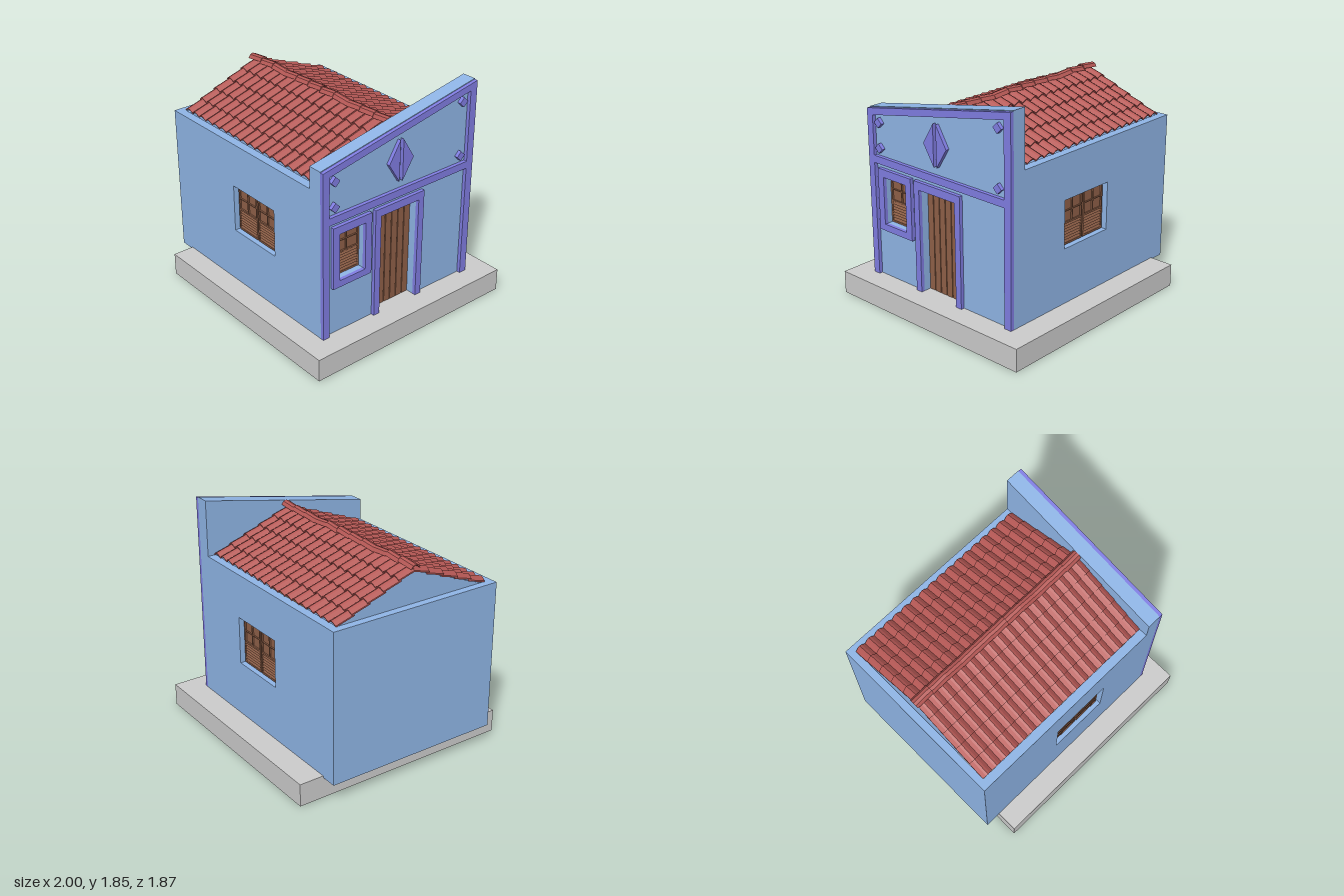
import * as THREE from 'three';

const mat = (color) => new THREE.MeshStandardMaterial({ color, flatShading: true, side: THREE.DoubleSide });
const GREY = mat(0xcccccc), BLUE = mat(0x8fb5e6), PURPLE = mat(0x807de2);
const TILE = mat(0xb55855), WOOD = mat(0x8f6048);

const rect = (x0, y0, x1, y1) => [[x0, y0], [x1, y0], [x1, y1], [x0, y1]];
const vecs = (pts) => pts.map(([x, y]) => new THREE.Vector2(x, y));

// Flat outline with holes, extruded from w0 to w1 along local z
function slab(name, pts, holes, w0, w1, material) {
  const shape = new THREE.Shape(vecs(pts));
  for (const h of holes) shape.holes.push(new THREE.Path(vecs(h)));
  const geo = new THREE.ExtrudeGeometry(shape, { depth: w1 - w0, bevelEnabled: false });
  geo.translate(0, 0, w0);
  const mesh = new THREE.Mesh(geo, material);
  mesh.name = name;
  return mesh;
}

function box(name, w, h, d, x, y, z, material) {
  const mesh = new THREE.Mesh(new THREE.BoxGeometry(w, h, d), material);
  mesh.name = name;
  mesh.position.set(x, y, z);
  return mesh;
}

// Wooden casement: four panes above, slatted louvre below; faces +z, origin at bottom centre
function casement(w, h) {
  const g = new THREE.Group();
  g.name = 'casement';
  const b = 0.014, mid = h * 0.47, hw = w / 2, rowH = (h - mid - 2 * b) / 2;
  const holes = [rect(-hw + b, b, hw - b, mid - b / 2)];
  for (const row of [0, 1]) {
    const y = mid + b / 2 + row * (rowH + b / 2);
    holes.push(rect(-hw + b, y, -b / 3, y + rowH), rect(b / 3, y, hw - b, y + rowH));
  }
  g.add(slab('casementFrame', rect(-hw, 0, hw, h), holes, -0.02, 0, WOOD));
  g.add(box('panes', w - b, h - b, 0.008, 0, h / 2, -0.016, WOOD));
  const n = 7, step = (mid - 1.5 * b) / n;
  for (let i = 0; i < n; i++) {
    const slat = box('slat', w - 2 * b, step * 0.95, 0.005, 0, b + step * (i + 0.5), -0.007, WOOD);
    slat.rotation.x = -0.4;
    g.add(slat);
  }
  return g;
}

// Long wall with a double window; outer face at local z = 0
const T = 0.07, BOTTOM = 0.17, TOP = 1.39;
function windowWall(name, x0, x1, cx) {
  const g = new THREE.Group();
  g.name = name;
  g.add(slab('wall', rect(x0, BOTTOM, x1, TOP), [rect(cx - 0.25, 0.64, cx + 0.25, 1.03)], -T, 0, BLUE));
  for (const s of [-1, 1]) {
    const c = casement(0.228, 0.374);
    c.position.set(cx + s * 0.121, 0.648, -0.035);
    g.add(c);
  }
  return g;
}

// Street side with sloping parapet; local x = -z of the model, local z = x of the model
function facade() {
  const g = new THREE.Group();
  g.name = 'facade';
  const L = -0.755, R = 0.73, X = 0.805, F = 0.835;
  const topY = (u) => 1.565 + (u - L) * 0.19;
  const win = rect(-0.6, 0.64, -0.355, 1.03), door = rect(-0.205, 0.185, 0.17, 1.03);
  // parapet wall, left open at the foot for the door
  g.add(slab('facadeWall', [[L, BOTTOM], [-0.205, BOTTOM], [-0.205, 1.03], [0.17, 1.03], [0.17, BOTTOM],
    [R, BOTTOM], [R, topY(R)], [L, topY(L)]], [win], 0.69, X, BLUE));
  // raised border around both fields
  const a = L + 0.06, b = R - 0.065, d = 0.006;
  g.add(slab('border', [[L, 0.18], [a, 0.18], [a, 1.13], [b, 1.13], [b, 0.18], [R, 0.18],
    [R, topY(R) - d], [L, topY(L) - d]],
  [[[a, 1.19], [b, 1.19], [b, topY(b) - 0.062], [a, topY(a) - 0.062]]], X, F, PURPLE));
  // window and door surrounds
  g.add(slab('windowSurround', rect(-0.66, 0.585, -0.295, 1.095), [win], X, F, PURPLE));
  g.add(slab('doorSurround', [[-0.26, 0.18], [-0.205, 0.18], [-0.205, 1.03], [0.17, 1.03], [0.17, 0.18],
    [0.225, 0.18], [0.225, 1.095], [-0.26, 1.095]], [], X, F, PURPLE));
  // diamond ornaments
  for (const [u, y] of [[-0.64, 1.46], [-0.64, 1.255], [0.6, 1.7], [0.6, 1.255]]) {
    const r = 0.04;
    g.add(slab('diamond', [[u - r, y], [u, y - r], [u + r, y], [u, y + r]], [], X, F, PURPLE));
  }
  for (const s of [-1, 1]) {
    const u = -0.02 + s * 0.015;
    g.add(slab('halfDiamond', [[u, 1.255], [u + s * 0.104, 1.42], [u, 1.59]], [], X, F, PURPLE));
  }
  // small window
  const c = casement(0.237, 0.38);
  c.position.set(-0.4775, 0.645, 0.765);
  g.add(c);
  // plank door
  const n = 6, pw = (door[1][0] - door[0][0]) / n;
  g.add(box('doorBacking', pw * n, 0.845, 0.01, -0.0175, 0.6075, 0.722, WOOD));
  for (let i = 0; i < n; i++) {
    g.add(box('doorPlank', pw - 0.007, 0.843, 0.02, door[0][0] + pw * (i + 0.5), 0.6075, 0.735, WOOD));
  }
  g.rotation.y = Math.PI / 2;
  return g;
}

function roof() {
  const g = new THREE.Group();
  g.name = 'roof';
  const x0 = -0.945, x1 = 0.69, cols = 18, w = (x1 - x0) / cols, ridgeZ = 0.006, ridgeY = 1.645;
  // wavy tile section across the whole row
  const wave = [];
  for (let i = 0; i < cols; i++) {
    for (const [t, y] of [[0, 0], [0.3, 0.02], [0.5, 0.027], [0.7, 0.02]]) {
      wave.push([(i + t - cols / 2) * w, y]);
    }
  }
  wave.push([cols / 2 * w, 0]);
  const under = wave.map(([x, y]) => [x, y - 0.011]);
  const section = [...under, ...wave.slice().reverse()];
  // overlapping rows on both slopes
  const rows = 5, slope = 0.365, step = 0.1445;
  for (const turn of [0, Math.PI]) {
    const side = new THREE.Group();
    side.name = turn ? 'backSlope' : 'frontSlope';
    for (let i = 0; i < rows; i++) {
      const row = slab('tileRow', section, [], i ? -0.02 : 0, step, TILE);
      const s = i * step;
      row.position.set(0, -s * Math.sin(slope), s * Math.cos(slope));
      row.rotation.x = slope - 0.085;
      side.add(row);
    }
    side.position.set((x0 + x1) / 2, ridgeY, ridgeZ);
    side.rotation.y = turn;
    g.add(side);
  }
  // ridge caps, each laid a little unevenly
  const arch = [[-0.042, 0], [-0.024, 0.026], [0, 0.034], [0.024, 0.026], [0.042, 0]];
  const inner = arch.map(([x, y]) => [x * 0.78, y * 0.7]).reverse();
  const caps = 11, len = (x1 - x0 + 0.01) / caps;
  for (let i = 0; i < caps; i++) {
    const pivot = new THREE.Group();
    pivot.name = 'ridgeCap';
    const cap = slab('cap', [...arch, ...inner], [], -len / 2 - 0.006, len / 2, TILE);
    cap.rotation.y = Math.PI / 2;
    pivot.add(cap);
    pivot.position.set(x0 - 0.008 + len * (i + 0.5), 1.667 + 0.004 * Math.sin(i * 1.3 + 1.2), ridgeZ);
    pivot.rotation.z = [0.09, 0.09, -0.07, 0.08, 0.07][i % 5];
    g.add(pivot);
  }
  // gable closing the open end
  const gable = slab('gable', [[-0.67, 1.36], [0.67, 1.36], [0.67, 1.378], [0, 1.64], [-0.67, 1.378]], [], -0.935, -0.9, BLUE);
  gable.rotation.y = Math.PI / 2;
  gable.position.z = ridgeZ;
  g.add(gable);
  return g;
}

export function createModel() {
  const model = new THREE.Group();
  model.name = 'house';
  model.add(box('plinth', 1.87, 0.185, 1.865, 0.065, 0.0925, 0, GREY));

  const front = windowWall('frontWall', -1, 0.69, 0.02);
  front.position.z = 0.755;
  const back = windowWall('backWall', -0.69, 1, 0);
  back.position.z = -0.73;
  back.rotation.y = Math.PI;
  const end = box('endWall', 0.06, TOP - BOTTOM, 1.485 - 2 * T, -0.97, (TOP + BOTTOM) / 2, 0.0125, BLUE);
  model.add(front, back, end, facade(), roof());
  return model;
}
